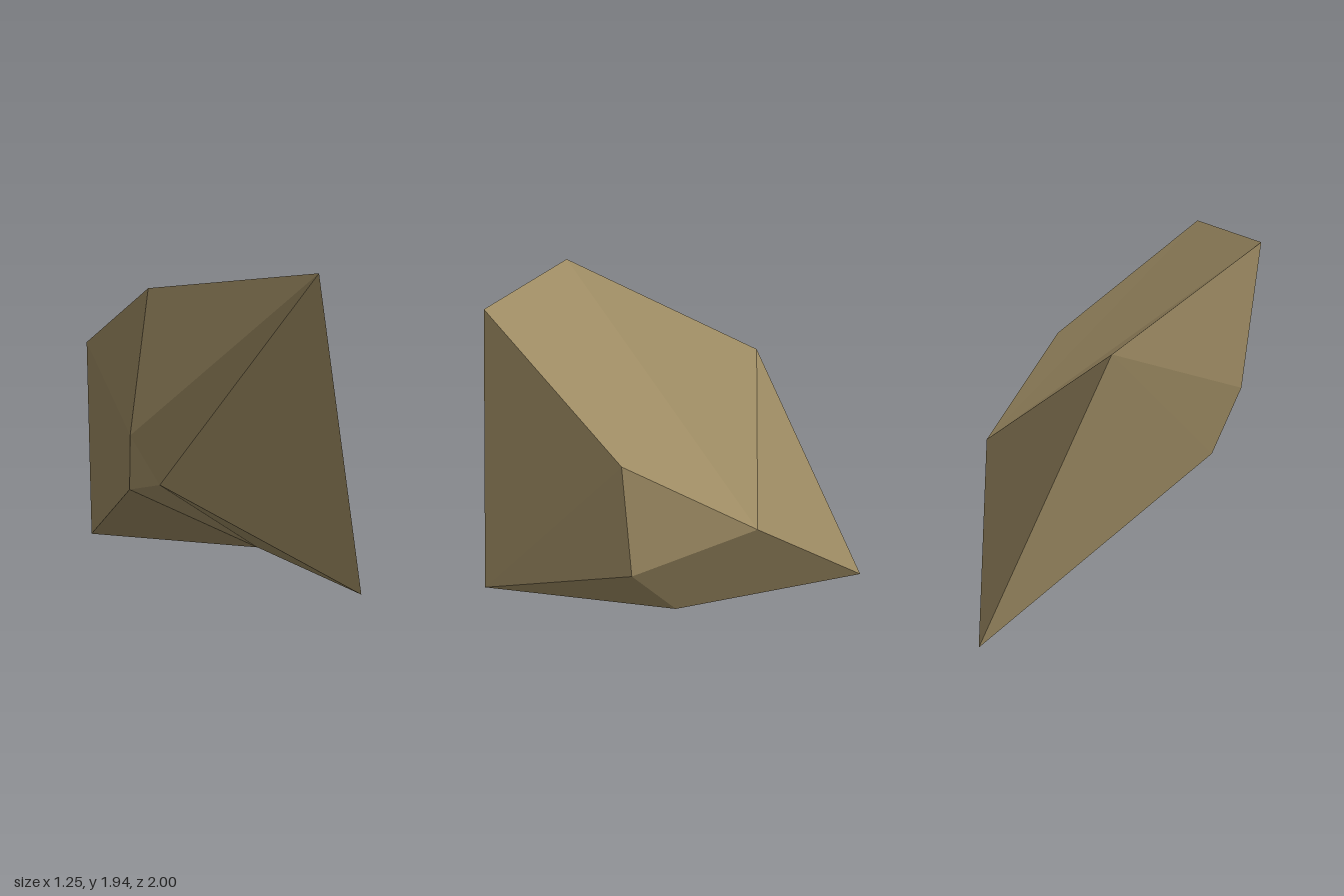
import * as THREE from 'three';

// Corner points of the faceted rock
const P = {
  A: [-0.53, 1.875, 0.75], // top left
  B: [0.23, 1.94, 0.95], // top peak
  C: [0.54, 1.31, 0.175],
  D: [0.62, 0.68, 0.115],
  E: [0.475, 0.325, 1.0], // front toe
  F: [0.275, 0.195, -0.04], // underside
  G: [-0.495, 0, -1.0], // rear foot
  H: [-0.4, 0.785, 0.4], // front hollow
  I: [-0.56, 0.78, 0.41],
  J: [-0.59, 1.12, 0.58],
  K: [-0.625, 1.39, -0.3], // rear shoulder
  L: [0.265, 0.82, -0.48],
};

// Facets, grouped by side, corners counter-clockwise from outside
const FACETS = [
  'AJB JHB JIH HEB', // front
  'HFE IFH IGF EFD DFL LFG', // underside
  'BEC EDC CDL', // +x side
  'BCL ABL ALK KLG', // top and back slope
  'KJA KIJ KGI', // -x side
].join(' ').split(' ');

export function createModel() {
  const stone = new THREE.MeshStandardMaterial({ color: 0x9c8a62, flatShading: true });
  stone.name = 'brownStone';

  const positions = FACETS.flatMap((f) => [...f].flatMap((k) => P[k]));
  const geometry = new THREE.BufferGeometry();
  geometry.setAttribute('position', new THREE.Float32BufferAttribute(positions, 3));
  geometry.computeVertexNormals();

  const rock = new THREE.Mesh(geometry, stone);
  rock.name = 'rock';

  const group = new THREE.Group();
  group.name = 'facetedRock';
  group.add(rock);
  return group;
}
